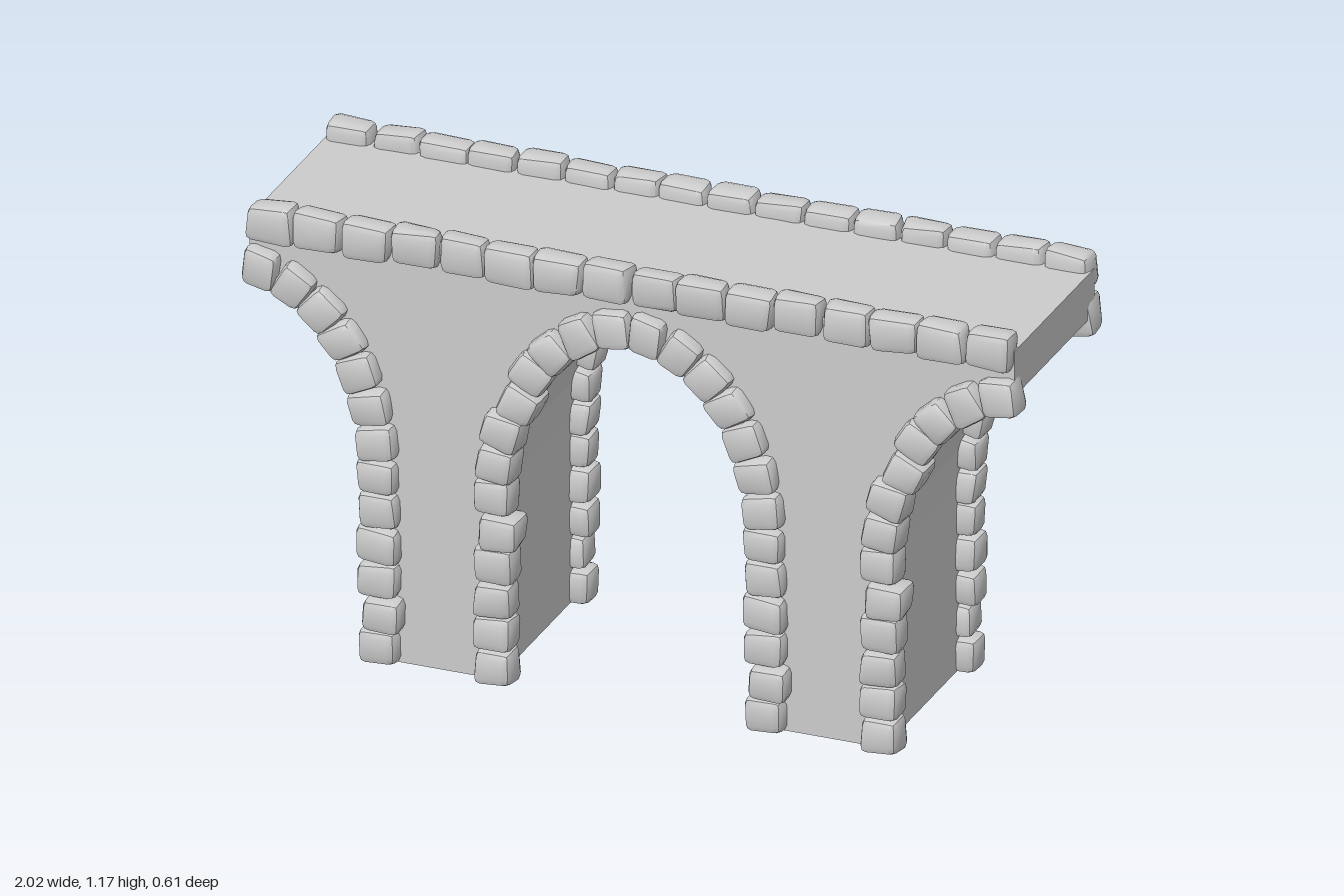
import * as THREE from 'three';
import { RoundedBoxGeometry } from 'three/addons/geometries/RoundedBoxGeometry.js';
import { toCreasedNormals } from 'three/addons/utils/BufferGeometryUtils.js';

const material = new THREE.MeshStandardMaterial({ color: 0xcccccc });
const RX = 0.35, RY = 0.5, SPRING = 0.5; // arch radii and springing height

function seeded(seed) {
  let s = (seed * 7919 + 12345) % 2147483647;
  const next = () => (s = (s * 48271) % 2147483647) / 2147483647;
  next(); next();
  return () => next() * 2 - 1;
}

// Rough hewn block: a bevelled box whose eight corners are pulled about
function stoneGeometry(w, h, d, seed) {
  const rand = seeded(seed);
  const geo = new RoundedBoxGeometry(w, h, d, 1, 0.02);
  const corners = Array.from({ length: 8 }, () =>
    new THREE.Vector3(rand() * w * 0.07, rand() * h * 0.07, rand() * d * 0.07));
  const pos = geo.attributes.position;
  const p = new THREE.Vector3(), shift = new THREE.Vector3();
  for (let i = 0; i < pos.count; i++) {
    p.fromBufferAttribute(pos, i);
    const u = p.x / w + 0.5, v = p.y / h + 0.5, t = p.z / d + 0.5;
    shift.set(0, 0, 0);
    corners.forEach((c, k) => shift.addScaledVector(c,
      (k & 1 ? u : 1 - u) * (k & 2 ? v : 1 - v) * (k & 4 ? t : 1 - t)));
    pos.setXYZ(i, p.x + shift.x, p.y + shift.y, p.z + shift.z);
  }
  return toCreasedNormals(geo, 0.7);
}

function stone(name, w, h, d, seed) {
  const mesh = new THREE.Mesh(stoneGeometry(w, h, d, seed), material);
  mesh.name = name;
  return mesh;
}

// Half an arch of stones: side +1 is the right-hand leg, -1 the left-hand one
function halfArch(centreX, side) {
  const group = new THREE.Group();
  group.name = 'archStones';
  const path = new THREE.CurvePath();
  path.add(new THREE.LineCurve(new THREE.Vector2(RX, 0.003), new THREE.Vector2(RX, SPRING)));
  path.add(new THREE.EllipseCurve(0, SPRING, RX, RY, 0, Math.PI / 2));
  const count = 13, length = path.getLength() / count;
  const bumps = side > 0 ? { 1: 0.015 } : { 4: 0.014, 8: 0.014 };
  for (let i = 0; i < count; i++) {
    const t = (i + 0.5) / count;
    const p = path.getPoint(t), dir = path.getTangent(t);
    const bump = bumps[i] || 0;
    const block = stone('archStone', 0.1, length * 1.01, 0.084 + bump, i * 2 + (side > 0 ? 1 : 40));
    block.position.set(centreX + side * p.x + bump, p.y, 0.248 + bump / 2);
    block.rotation.z = side * (Math.atan2(dir.y, dir.x) - Math.PI / 2);
    group.add(block);
  }
  return group;
}

// One face of the bridge: a full arch, two half arches and the parapet
function facing(name) {
  const group = new THREE.Group();
  group.name = name;
  group.add(halfArch(0, 1), halfArch(0, -1), halfArch(-1, 1), halfArch(1, -1));
  const parapet = new THREE.Group();
  parapet.name = 'parapet';
  const count = 16, pitch = 1.985 / count;
  for (let i = 0; i < count; i++) {
    const block = stone('parapetStone', pitch * 0.99, 0.096, 0.074, 101 + i * 3);
    block.position.set((i - (count - 1) / 2) * pitch, 1.116, 0.247);
    parapet.add(block);
  }
  group.add(parapet);
  return group;
}

// Solid core: deck, two piers and the faceted vaults between them
function core() {
  const end = 0.99, base = 0.008, top = 1.12, steps = 8;
  const pts = [[-end, top]];
  const vault = (cx, from, to) => {
    const n = Math.abs(to - from);
    for (let i = 0; i <= n; i++) {
      const a = ((from + Math.sign(to - from) * i) / steps) * Math.PI / 2;
      const x = THREE.MathUtils.clamp(cx + RX * Math.cos(a), -end, end);
      pts.push([x, SPRING + RY * Math.sin(a)]);
    }
  };
  vault(-1, steps, 0);
  pts.push([-1 + RX, base], [-RX, base]);
  vault(0, 2 * steps, 0);
  pts.push([RX, base], [1 - RX, base]);
  vault(1, 2 * steps, steps);
  pts.push([end, top]);
  const shape = new THREE.Shape(pts.map(([x, y]) => new THREE.Vector2(x, y)));
  const geo = new THREE.ExtrudeGeometry(shape, { depth: 0.5, bevelEnabled: false });
  geo.translate(0, 0, -0.25);
  const mesh = new THREE.Mesh(geo, material);
  mesh.name = 'bridgeCore';
  return mesh;
}

export function createModel() {
  const model = new THREE.Group();
  model.name = 'archedBridge';
  const back = facing('backFacing');
  back.rotation.y = Math.PI;
  model.add(core(), facing('frontFacing'), back);
  return model;
}
